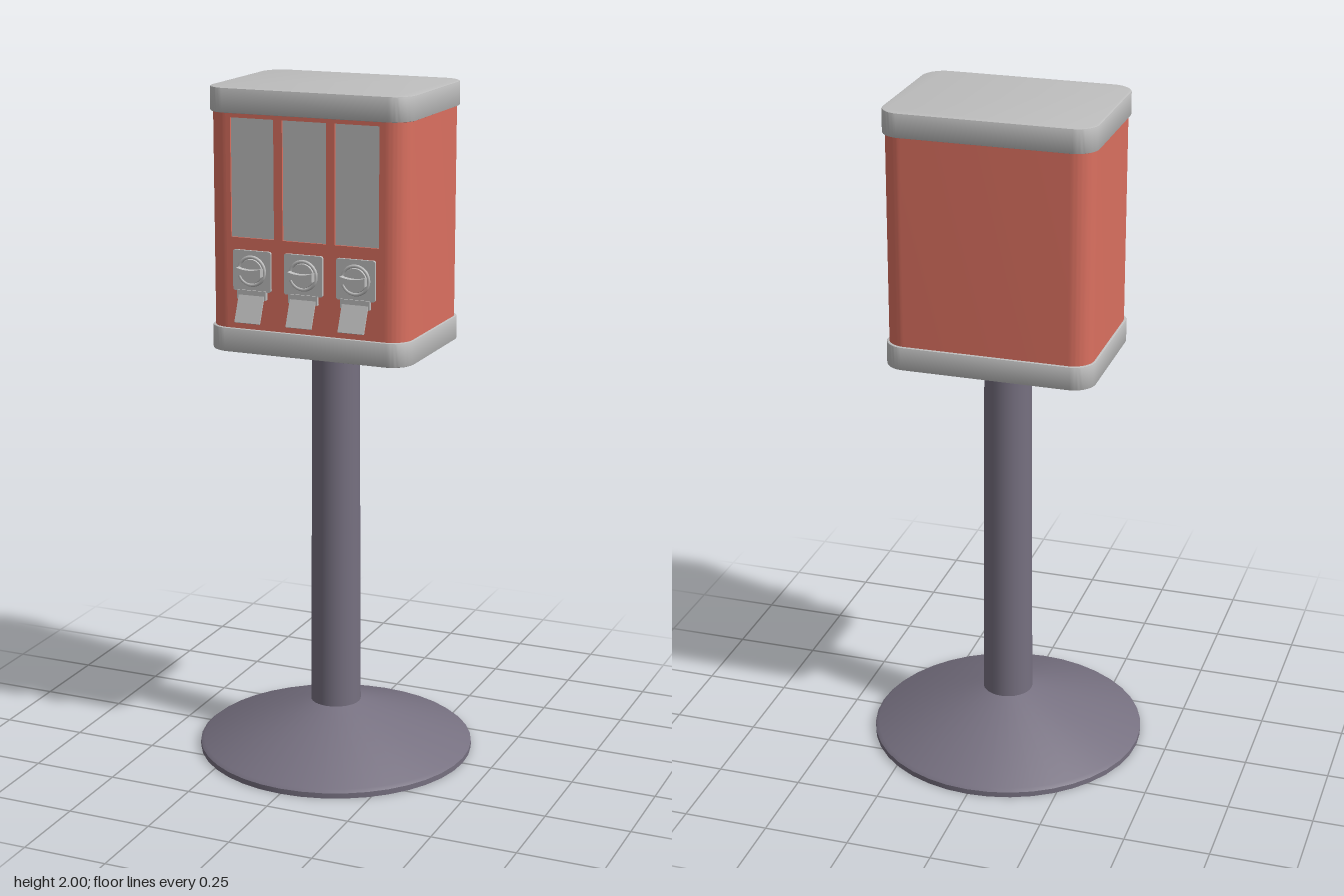
import * as THREE from 'three';
import { toCreasedNormals } from 'three/addons/utils/BufferGeometryUtils.js';

const material = (name, color, side = THREE.FrontSide) => {
  const m = new THREE.MeshStandardMaterial({ color, side });
  m.name = name;
  return m;
};

// Rounded rectangle centred on the origin
function roundedRect(w, h, r) {
  const s = new THREE.Shape(), x = w / 2, y = h / 2;
  s.absarc(x - r, y - r, r, 0, Math.PI / 2);
  s.absarc(-x + r, y - r, r, Math.PI / 2, Math.PI);
  s.absarc(-x + r, -y + r, r, Math.PI, Math.PI * 1.5);
  s.absarc(x - r, -y + r, r, Math.PI * 1.5, Math.PI * 2);
  s.closePath();
  return s;
}

// Cross-section drawn in x / -z, raised from y0 to y1
function upright(shape, y0, y1, bevel = 0) {
  const g = new THREE.ExtrudeGeometry(shape, {
    depth: y1 - y0 - 2 * bevel, curveSegments: 8, bevelEnabled: bevel > 0,
    bevelSize: bevel, bevelThickness: bevel, bevelOffset: -bevel, bevelSegments: 2,
  });
  g.rotateX(-Math.PI / 2).translate(0, y0 + bevel, 0);
  return toCreasedNormals(g, 0.6);
}

const lathe = (points, segments = 40) => toCreasedNormals(
  new THREE.LatheGeometry(points.map(([x, y]) => new THREE.Vector2(x, y)), segments), 0.5);

export function createModel() {
  const model = new THREE.Group();
  model.name = 'vendingStand';
  const red = material('red paint', 0xdb7060);
  const silver = material('silver metal', 0xbebebe);
  const iron = material('dark iron', 0x767080, THREE.DoubleSide);

  const add = (parent, name, geometry, mat, x = 0, y = 0, z = 0) => {
    const mesh = new THREE.Mesh(geometry, mat);
    mesh.name = name;
    mesh.position.set(x, y, z);
    parent.add(mesh);
    return mesh;
  };

  // Hollow conical foot and tapered pole
  add(model, 'base', lathe([[0.41, 0], [0.41, 0.016], [0.4, 0.024], [0.073, 0.145]]), iron);
  add(model, 'pole', new THREE.CylinderGeometry(0.069, 0.075, 1.105, 32).translate(0, 0.6825, 0), iron);
  add(model, 'collar', lathe([[0.069, 1.225], [0.072, 1.235], [0.083, 1.246], [0.083, 1.255]], 32), red);

  // Cabinet, stepped back at the front to take the window panel
  const hw = 0.3, hd = 0.22, r = 0.06, flat = hw - r, step = 0.01;
  const body = new THREE.Shape();
  body.moveTo(-flat, -hd + step);
  body.lineTo(flat, -hd + step);
  body.lineTo(flat, -hd);
  body.absarc(flat, -hd + r, r, -Math.PI / 2, 0);
  body.absarc(flat, hd - r, r, 0, Math.PI / 2);
  body.absarc(-flat, hd - r, r, Math.PI / 2, Math.PI);
  body.absarc(-flat, -hd + r, r, Math.PI, Math.PI * 1.5);
  body.closePath();
  add(model, 'cabinet', upright(body, 1.3, 1.95), red);

  // Front panel with three window openings
  const columns = [-0.16, -0.002, 0.156];
  const panel = new THREE.Shape([[-flat, 1.3], [flat, 1.3], [flat, 1.95], [-flat, 1.95]]
    .map(([x, y]) => new THREE.Vector2(x, y)));
  const winW = 0.132, winLow = 1.582, winHigh = 1.918;
  for (const c of columns) {
    const a = c - winW / 2, b = c + winW / 2;
    panel.holes.push(new THREE.Path([[a, winLow], [a, winHigh], [b, winHigh], [b, winLow]]
      .map(([x, y]) => new THREE.Vector2(x, y))));
  }
  add(model, 'frontPanel', new THREE.ExtrudeGeometry(panel, { depth: step, bevelEnabled: false }),
    red, 0, 0, hd - step);

  // Lid and tray
  const cap = roundedRect(0.614, 0.456, 0.065);
  add(model, 'lid', upright(cap, 1.93, 2, 0.004), silver);
  add(model, 'tray', upright(cap, 1.25, 1.32, 0.004), silver);

  // One window and one coin mechanism per column
  const plateShape = roundedRect(0.116, 0.116, 0.006);
  columns.forEach((x, i) => {
    add(model, 'window' + (i + 1), new THREE.BoxGeometry(winW, winHigh - winLow, 0.004),
      silver, x, (winLow + winHigh) / 2, hd - step + 0.002);

    const unit = new THREE.Group();
    unit.name = 'coinMechanism' + (i + 1);
    unit.position.set(x, 1.49, hd);
    model.add(unit);
    add(unit, 'coinPlate', new THREE.ExtrudeGeometry(plateShape, { depth: 0.008, bevelEnabled: false }), silver);
    add(unit, 'dialRing', new THREE.TorusGeometry(0.04, 0.005, 8, 28), silver, 0, 0, 0.009);
    add(unit, 'dial', new THREE.CylinderGeometry(0.034, 0.036, 0.008, 28).rotateX(Math.PI / 2),
      silver, 0, 0, 0.011);
    // Turning grip: a waisted bar across the dial
    const grip = new THREE.Shape();
    grip.moveTo(-0.037, -0.012);
    grip.quadraticCurveTo(0, 0, 0.037, -0.012);
    grip.lineTo(0.037, 0.012);
    grip.quadraticCurveTo(0, 0, -0.037, 0.012);
    grip.closePath();
    // Curves kept apart at the waist by a slim bar
    add(unit, 'grip', new THREE.ExtrudeGeometry(grip, { depth: 0.02, bevelEnabled: false, curveSegments: 8 }),
      silver, 0, 0, 0.013);

    // Chute hood and the flap hanging out from it
    add(unit, 'chuteHood', new THREE.BoxGeometry(0.088, 0.026, 0.012), silver, 0, -0.068, 0.006);
    const flap = add(unit, 'chuteFlap', new THREE.BoxGeometry(0.078, 0.08, 0.005).translate(0, -0.04, 0),
      silver, 0, -0.07, 0.01);
    flap.rotation.x = -0.4;
  });

  return model;
}
